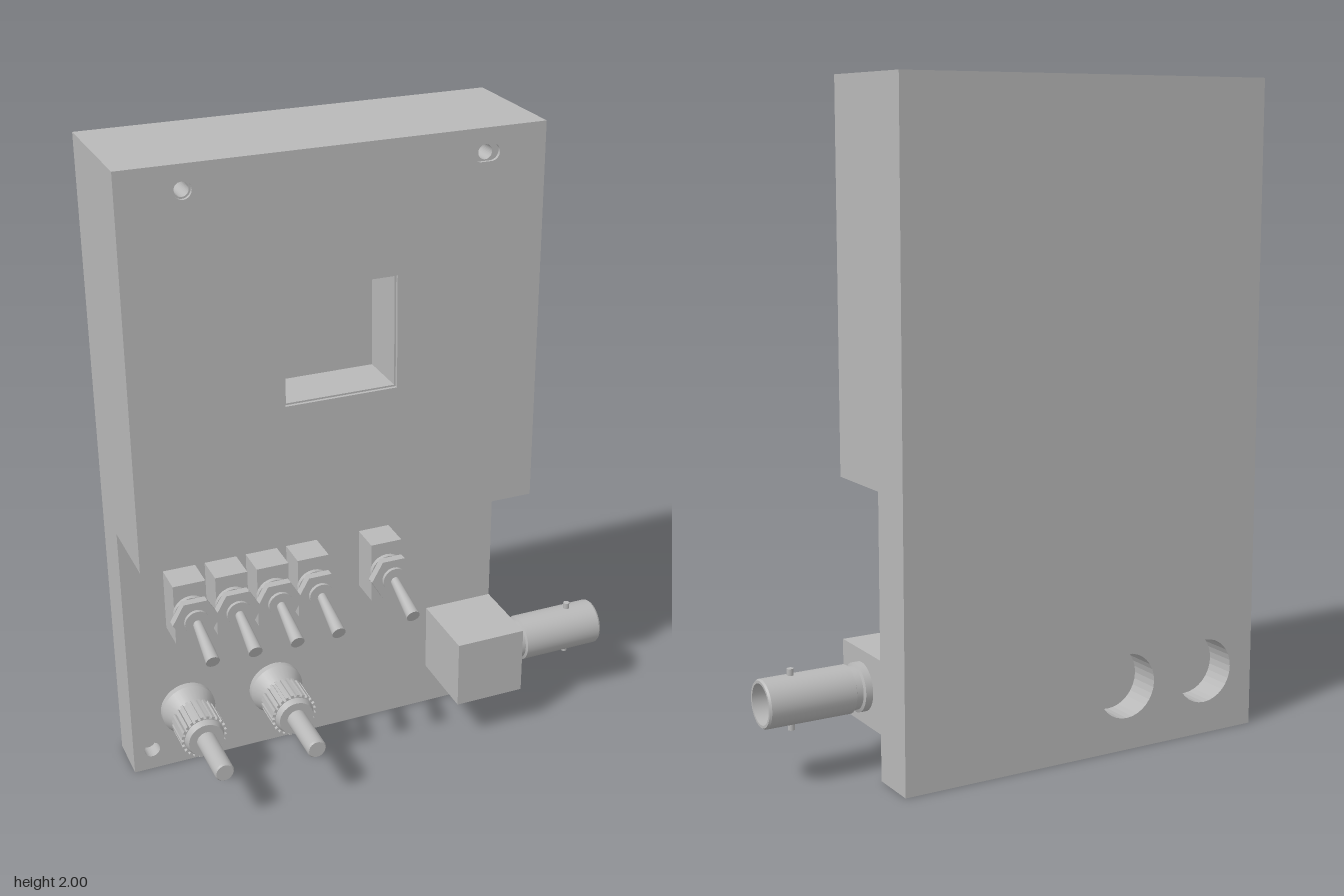
import * as THREE from 'three';

const grey = new THREE.MeshStandardMaterial({ color: 0xb8b8b8 });
grey.name = 'plain grey';

function add(parent, name, geometry, x = 0, y = 0, z = 0) {
  const mesh = new THREE.Mesh(geometry, grey);
  mesh.name = name;
  mesh.position.set(x, y, z);
  parent.add(mesh);
  return mesh;
}

// Hole outlines
const round = (x, y, r) => new THREE.Path().absarc(x, y, r, 0, Math.PI * 2, true);
function slot(x, y, r, half) {
  const p = new THREE.Path();
  p.absarc(x + half, y, r, -Math.PI / 2, Math.PI / 2, false);
  p.absarc(x - half, y, r, Math.PI / 2, Math.PI * 1.5, false);
  p.closePath();
  return p;
}
function rectangle(path, x0, y0, x1, y1) {
  path.moveTo(x0, y0);
  path.lineTo(x1, y0);
  path.lineTo(x1, y1);
  path.lineTo(x0, y1);
  path.closePath();
  return path;
}

// One slice of the case between two depths, with holes cut through it
function slab(parent, name, y0, y1, z0, z1, holes = []) {
  const shape = rectangle(new THREE.Shape(), -0.77, y0, 0.45, y1);
  shape.holes.push(...holes);
  const geometry = new THREE.ExtrudeGeometry(shape, { depth: z1 - z0, bevelEnabled: false, curveSegments: 16 });
  add(parent, name, geometry, 0, 0, z0);
}

// Turned part with sharp edges: each pair of points is its own smooth band; axis along +z
function turned(parent, name, points, segments = 32) {
  const group = new THREE.Group();
  group.name = name;
  for (let i = 0; i < points.length - 1; i++) {
    const band = [points[i], points[i + 1]].map(([r, z]) => new THREE.Vector2(r, z));
    add(group, name + 'Band', new THREE.LatheGeometry(band, segments).rotateX(Math.PI / 2));
  }
  parent.add(group);
  return group;
}

function makeCase() {
  const g = new THREE.Group();
  g.name = 'case';
  const window = (m) => rectangle(new THREE.Path(), -0.328 + m, 1.28 + m, 0.008 - m, 1.616 - m);
  slab(g, 'backPanel', 0, 2, -0.26, -0.16, [round(-0.59, 0.2, 0.1), round(-0.3, 0.2, 0.1)]);
  slab(g, 'lowerPanel', 0, 2, -0.16, -0.11, [round(-0.71, 0.07, 0.025), round(0.385, 0.07, 0.025)]);
  slab(g, 'windowBacking', 0.85, 2, -0.11, -0.035);
  slab(g, 'upperBlock', 0.85, 2, -0.035, 0.125,
    [window(0.005), round(-0.59, 1.93, 0.02), round(0.27, 1.93, 0.021)]);
  slab(g, 'frontFace', 0.85, 2, 0.125, 0.135,
    [window(0), round(-0.59, 1.93, 0.025), slot(0.27, 1.93, 0.025, 0.015)]);
  return g;
}

function makeSwitch(x) {
  const g = new THREE.Group();
  g.name = 'toggleSwitch';
  g.position.set(x, 0.6, 0);
  add(g, 'switchBody', new THREE.BoxGeometry(0.1, 0.195, 0.1), 0, -0.002, -0.06);
  turned(g, 'bushing', [[0.038, -0.01], [0.038, 0.058], [0, 0.058]], 24);
  turned(g, 'washer', [[0, -0.01], [0.055, -0.01], [0.055, 0.004], [0, 0.004]], 24);
  // Hexagonal nut with a corner on each side
  const nut = new THREE.CylinderGeometry(0.072, 0.072, 0.026, 6).toNonIndexed();
  nut.computeVertexNormals();
  nut.rotateX(Math.PI / 2).rotateZ(Math.PI / 6);
  add(g, 'hexNut', nut, 0, 0, 0.034);
  // Lever flares towards its tip and points down
  const lever = turned(g, 'lever', [[0.013, 0], [0.021, 0.165], [0, 0.165]], 20);
  lever.position.set(0, 0.002, 0.038);
  lever.rotation.x = 0.34;
  return g;
}

function makePost(x) {
  const g = new THREE.Group();
  g.name = 'bindingPost';
  g.position.set(x, 0.2, 0);
  turned(g, 'flaredBase', [[0.085, -0.112], [0.085, -0.09], [0.052, -0.03]]);
  // Knurled grip with square ribs
  const outline = new THREE.Shape();
  const ribs = 24;
  for (let i = 0; i < ribs; i++) {
    [[0, 0.072], [0.5, 0.072], [0.5, 0.064], [1, 0.064]].forEach(([t, r], k) => {
      const a = ((i + t) / ribs) * Math.PI * 2;
      const x1 = r * Math.cos(a), y1 = r * Math.sin(a);
      if (i + k === 0) outline.moveTo(x1, y1);
      else outline.lineTo(x1, y1);
    });
  }
  outline.closePath();
  add(g, 'knurledGrip', new THREE.ExtrudeGeometry(outline, { depth: 0.1, bevelEnabled: false }), 0, 0, -0.035);
  turned(g, 'collar', [[0.062, 0.065], [0.055, 0.085], [0.03, 0.085]]);
  turned(g, 'tip', [[0.03, 0.08], [0.03, 0.253], [0.026, 0.258], [0, 0.258]], 24);
  return g;
}

function makeConnector() {
  const g = new THREE.Group();
  g.name = 'coaxialConnector';
  add(g, 'connectorBlock', new THREE.BoxGeometry(0.225, 0.22, 0.245), 0.3375, 0.25, 0.0125);
  const barrel = new THREE.Group();
  barrel.name = 'barrel';
  barrel.position.set(0.45, 0.25, 0.01);
  barrel.rotation.y = Math.PI / 2;
  g.add(barrel);
  turned(barrel, 'sleeve', [
    [0.073, 0], [0.073, 0.022], [0.064, 0.026], [0.064, 0.046], [0.072, 0.05], [0.072, 0.312],
    [0.068, 0.318], [0.06, 0.318], [0.06, 0.13], [0, 0.13],
  ], 40);
  turned(barrel, 'contactPin', [[0.009, 0.13], [0.009, 0.27], [0, 0.27]], 16);
  // Locking studs above and below
  for (const side of [-1, 1]) {
    add(barrel, 'lockingStud', new THREE.CylinderGeometry(0.01, 0.01, 0.026, 16), 0, side * 0.078, 0.225);
  }
  return g;
}

export function createModel() {
  const model = new THREE.Group();
  model.name = 'controlBox';
  model.add(makeCase());
  for (const x of [-0.59, -0.46, -0.33, -0.2, 0.04]) model.add(makeSwitch(x));
  for (const x of [-0.59, -0.3]) model.add(makePost(x));
  model.add(makeConnector());
  return model;
}
